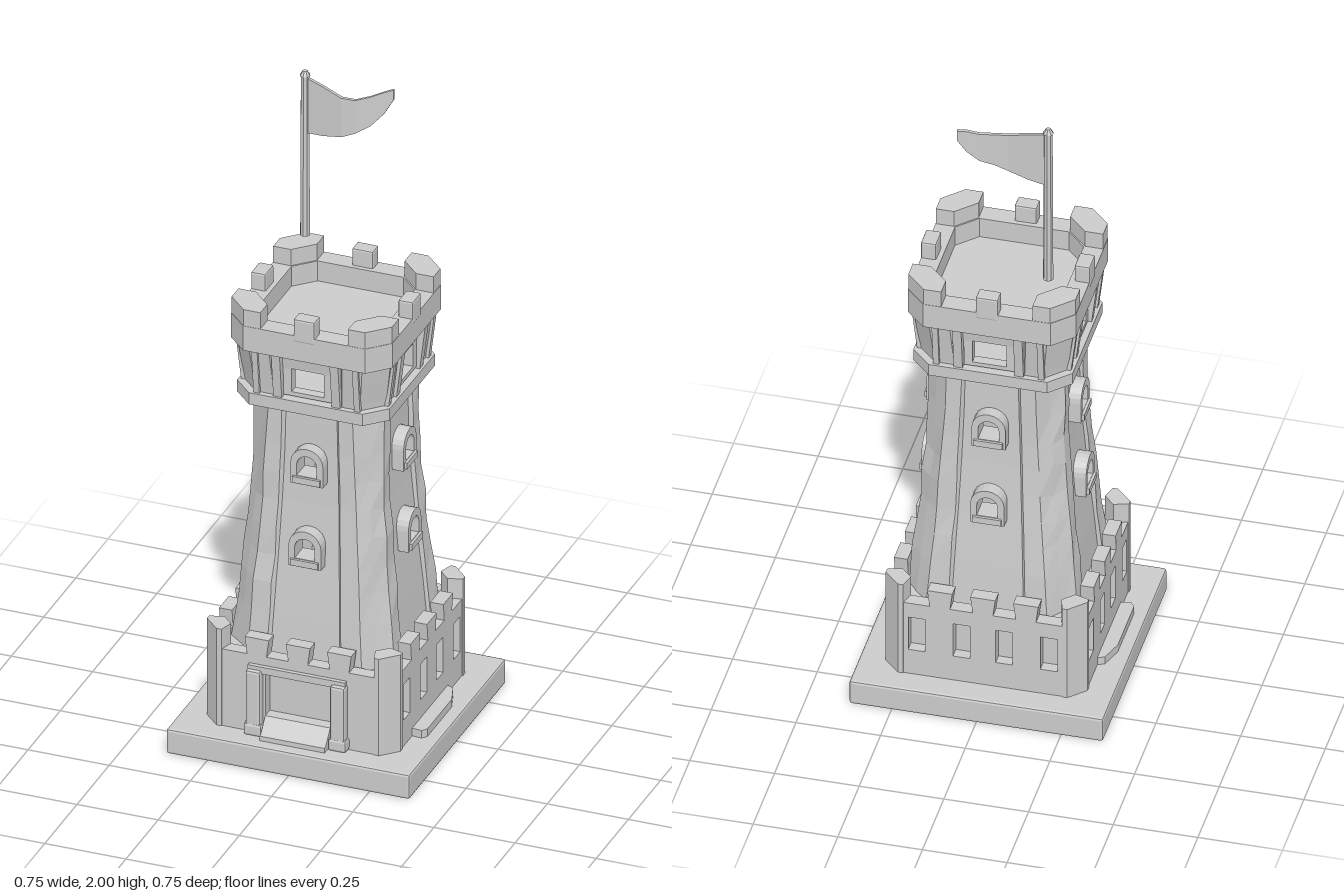
import * as THREE from 'three';
import { RoundedBoxGeometry } from 'three/addons/geometries/RoundedBoxGeometry.js';

const stone = new THREE.MeshStandardMaterial({ color: 0xcccccc, flatShading: true, side: THREE.DoubleSide });

function add(parent, name, geometry, x = 0, y = 0, z = 0) {
  const mesh = new THREE.Mesh(geometry, stone);
  mesh.name = name;
  mesh.position.set(x, y, z);
  parent.add(mesh);
  return mesh;
}

const shapeOf = pts => new THREE.Shape(pts.map(p => new THREE.Vector2(p[0], p[1])));
const extrude = (shape, depth) => new THREE.ExtrudeGeometry(shape, { depth, bevelEnabled: false, curveSegments: 5 });
// Plan outline in (x, z), raised from y0 to y1
const raise = (shape, y0, y1) => extrude(shape, y1 - y0).rotateX(-Math.PI / 2).translate(0, y0, 0);
const plan = (pts, y0, y1) => raise(shapeOf(pts.map(([x, z]) => [x, -z])), y0, y1);

// Square of half width r with chamfered corners; f is half the flat side
const octagon = (r, f) => [[r, -f], [r, f], [f, r], [-f, r], [-r, f], [-r, -f], [-f, -r], [f, -r]];

function rect(x0, x1, y0, y1) {
  return shapeOf([[x0, y0], [x1, y0], [x1, y1], [x0, y1]]);
}

// Arch outline with its foot at y0 and its springing at y1
function arch(half, y0, y1) {
  const s = new THREE.Shape();
  s.moveTo(-half, y0);
  s.lineTo(half, y0);
  s.lineTo(half, y1);
  s.absarc(0, y1, half, 0, Math.PI, false);
  return s;
}

// Four groups, one turned to each side
function onSides(parent, name, build) {
  for (let s = 0; s < 4; s++) {
    const side = new THREE.Group();
    side.name = name + s;
    side.rotation.y = s * Math.PI / 2;
    parent.add(side);
    build(side, s);
  }
}

const noise = (a, b) => {
  const v = Math.sin(a * 12.99 + b * 78.23) * 43758.55;
  return v - Math.floor(v) - 0.5;
};

// Chamfered shell through levels [y, r, f]; each side has an inset centre strip with openings
function shell(levels, { hole, inset, holeRows, rough }) {
  const rings = levels.map(([y, r, f], row) => {
    const ring = [];
    const p = f * 0.6, d = r - inset, m = (r + f) / 2;
    const cols = [[-f, r], [-p - 0.008, r], [-p, d], [-hole, d], [hole, d], [p, d], [p + 0.008, r], [f, r], [m, m]];
    for (let s = 0; s < 4; s++) {
      const c = Math.round(Math.cos(s * Math.PI / 2)), n = Math.round(Math.sin(s * Math.PI / 2));
      cols.forEach(([x, z], i) => {
        const k = i > 1 && i < 6 ? 1 : 1 + rough * noise(s * 9 + i, row);
        const dy = i === 8 ? rough * 0.8 * noise(row + 5, s) : 0;
        ring.push([(x * c + z * n) * k, y + dy, (z * c - x * n) * k]);
      });
    }
    return ring;
  });
  const pos = [];
  for (let row = 0; row < rings.length - 1; row++) {
    const lo = rings[row], hi = rings[row + 1];
    for (let i = 0; i < lo.length; i++) {
      if (i % 9 === 3 && holeRows.includes(row)) continue;
      const j = (i + 1) % lo.length;
      for (const v of [lo[i], lo[j], hi[j], lo[i], hi[j], hi[i]]) pos.push(...v);
    }
  }
  const g = new THREE.BufferGeometry();
  g.setAttribute('position', new THREE.Float32BufferAttribute(pos, 3));
  g.computeVertexNormals();
  return g;
}

function buildLowerWall(tower) {
  add(tower, 'lowerCore', plan(octagon(0.262, 0.22), 0.08, 0.315));
  onSides(tower, 'lowerWall', (side, s) => {
    // Battlemented wall outline
    const top = [[0.237, 0.33]];
    for (const x of [0.127, 0, -0.127]) {
      top.push([x + 0.03, 0.33], [x + 0.037, 0.385], [x - 0.037, 0.385], [x - 0.03, 0.33]);
    }
    const wall = shapeOf([[-0.237, 0.08], [0.237, 0.08], ...top, [-0.237, 0.33]]);
    if (s === 0) wall.holes.push(rect(-0.1, 0.1, 0.085, 0.285));
    else for (const x of [-0.195, -0.063, 0.063, 0.195]) wall.holes.push(rect(x - 0.025, x + 0.025, 0.165, 0.28));
    add(side, 'wall', extrude(wall, 0.04), 0, 0, 0.255);
    // Corner pier rising above the wall
    add(side, 'cornerPier', plan([[0.298, 0.235], [0.298, 0.25], [0.25, 0.298], [0.235, 0.298], [0.222, 0.255], [0.255, 0.222]], 0.08, 0.395));
  });
}

function buildGate(tower) {
  const gate = new THREE.Group();
  gate.name = 'gate';
  tower.add(gate);
  for (const x of [-0.13, 0.13]) {
    add(gate, 'gatePost', new RoundedBoxGeometry(0.046, 0.21, 0.04, 1, 0.008), x, 0.185, 0.302);
    add(gate, 'postFoot', new RoundedBoxGeometry(0.056, 0.04, 0.045, 1, 0.008), x, 0.1, 0.302);
  }
  add(gate, 'lintel', new THREE.BoxGeometry(0.3, 0.022, 0.02), 0, 0.291, 0.298);
  // Steep entrance ramp, profile in (z, y)
  const ramp = shapeOf([[0.26, 0.08], [0.34, 0.08], [0.34, 0.095], [0.33, 0.1], [0.297, 0.14], [0.26, 0.14]]);
  add(gate, 'ramp', extrude(ramp, 0.2).rotateY(-Math.PI / 2), 0.1);
  // Low paving at both flanks
  for (const m of [-1, 1]) {
    const pts = [[0.28, -0.13], [0.315, -0.115], [0.337, -0.05], [0.337, 0.14], [0.325, 0.155], [0.28, 0.15]];
    add(tower, 'sidePaving', plan(pts.map(([x, z]) => [m * x, z]), 0.08, 0.105));
  }
}

function buildShaft(tower) {
  const levels = [[0.3, 0.25, 0.178], [0.45, 0.238, 0.168], [0.54, 0.229, 0.162], [0.625, 0.221, 0.156],
    [0.715, 0.214, 0.15], [0.8, 0.207, 0.145], [0.887, 0.203, 0.14], [0.977, 0.201, 0.135], [1.12, 0.2, 0.13]];
  add(tower, 'shaft', shell(levels, { hole: 0.04, inset: 0.01, holeRows: [3, 6], rough: 0.035 }));
  const lining = levels.map(([y, r, f]) => [y, r - 0.035, f - 0.015]);
  add(tower, 'shaftLining', shell(lining, { hole: 0.04, inset: 0, holeRows: [3, 6], rough: 0 }));
  onSides(tower, 'windows', side => {
    for (const [dy, z] of [[0, 0.177], [0.262, 0.162]]) {
      const frame = arch(0.05, 0.615, 0.682);
      frame.holes.push(arch(0.031, 0.642, 0.677));
      add(side, 'windowFrame', extrude(frame, 0.066), 0, dy, z);
      add(side, 'windowSill', new THREE.BoxGeometry(0.085, 0.02, 0.016), 0, 0.63 + dy, z + 0.066);
    }
  });
}

function buildGallery(tower) {
  add(tower, 'galleryFloor', plan(octagon(0.235, 0.175), 1.11, 1.148));
  const levels = [[1.14, 0.217, 0.16], [1.168, 0.22, 0.162], [1.248, 0.231, 0.17], [1.3, 0.238, 0.175]];
  add(tower, 'galleryWall', shell(levels, { hole: 0.055, inset: 0.012, holeRows: [1], rough: 0 }));
  const lining = levels.map(([y, r, f]) => [y, r - 0.03, f - 0.015]);
  add(tower, 'galleryLining', shell(lining, { hole: 0.055, inset: 0, holeRows: [1], rough: 0 }));
  onSides(tower, 'gallerySide', side => {
    // Window reveal and leaning pillars
    const frame = rect(-0.075, 0.075, 1.155, 1.265);
    frame.holes.push(rect(-0.05, 0.05, 1.168, 1.243));
    add(side, 'galleryWindow', extrude(frame, 0.03), 0, 0, 0.188);
    for (const x of [-0.09, 0.09, -0.155, 0.155]) {
      const w = Math.abs(x) < 0.1 ? 0.026 : 0.018;
      const pillar = add(side, 'pillar', new THREE.BoxGeometry(w, 0.15, 0.026), x, 1.22, 0.223);
      pillar.rotation.x = 0.12;
    }
  });
}

function buildParapet(tower) {
  const ring = shapeOf(octagon(0.248, 0.188));
  ring.holes.push(shapeOf(octagon(0.19, 0.132)));
  add(tower, 'parapet', raise(ring, 1.29, 1.37));
  add(tower, 'roofFloor', plan(octagon(0.2, 0.15), 1.288, 1.305));
  onSides(tower, 'battlement', side => {
    add(side, 'merlon', new RoundedBoxGeometry(0.066, 0.075, 0.046, 1, 0.006), 0, 1.387, 0.227);
    add(side, 'cornerMerlon', plan([[0.247, 0.135], [0.247, 0.187], [0.187, 0.247], [0.135, 0.247], [0.135, 0.193], [0.193, 0.135]], 1.36, 1.423));
  });
}

function buildFlag(tower) {
  const flag = new THREE.Group();
  flag.name = 'flag';
  tower.add(flag);
  add(flag, 'pole', new THREE.CylinderGeometry(0.013, 0.015, 0.52, 8), -0.16, 1.725, -0.163);
  add(flag, 'poleTip', new THREE.CylinderGeometry(0.007, 0.016, 0.015, 8), -0.16, 1.9925, -0.163);
  // Waving pennant: columns of x, top, bottom, z
  const cols = [[-0.155, 1.98, 1.8, -0.163], [-0.1, 1.965, 1.805, -0.155], [-0.04, 1.945, 1.818, -0.146], [0, 1.943, 1.835, -0.15],
    [0.04, 1.952, 1.857, -0.17], [0.075, 1.966, 1.895, -0.185], [0.1, 1.973, 1.94, -0.198]];
  const cloth = new THREE.BoxGeometry(1, 1, 0.01, cols.length - 1, 1, 1);
  const p = cloth.attributes.position;
  for (let i = 0; i < p.count; i++) {
    const [x, top, bottom, z] = cols[Math.round((p.getX(i) + 0.5) * (cols.length - 1))];
    p.setXYZ(i, x, p.getY(i) > 0 ? top : bottom, z + p.getZ(i));
  }
  cloth.computeVertexNormals();
  add(flag, 'pennant', cloth);
}

export function createModel() {
  const tower = new THREE.Group();
  tower.name = 'tower';
  add(tower, 'baseSlab', new RoundedBoxGeometry(0.75, 0.08, 0.75, 1, 0.008), 0, 0.04, 0);
  buildLowerWall(tower);
  buildGate(tower);
  buildShaft(tower);
  buildGallery(tower);
  buildParapet(tower);
  buildFlag(tower);
  return tower;
}
